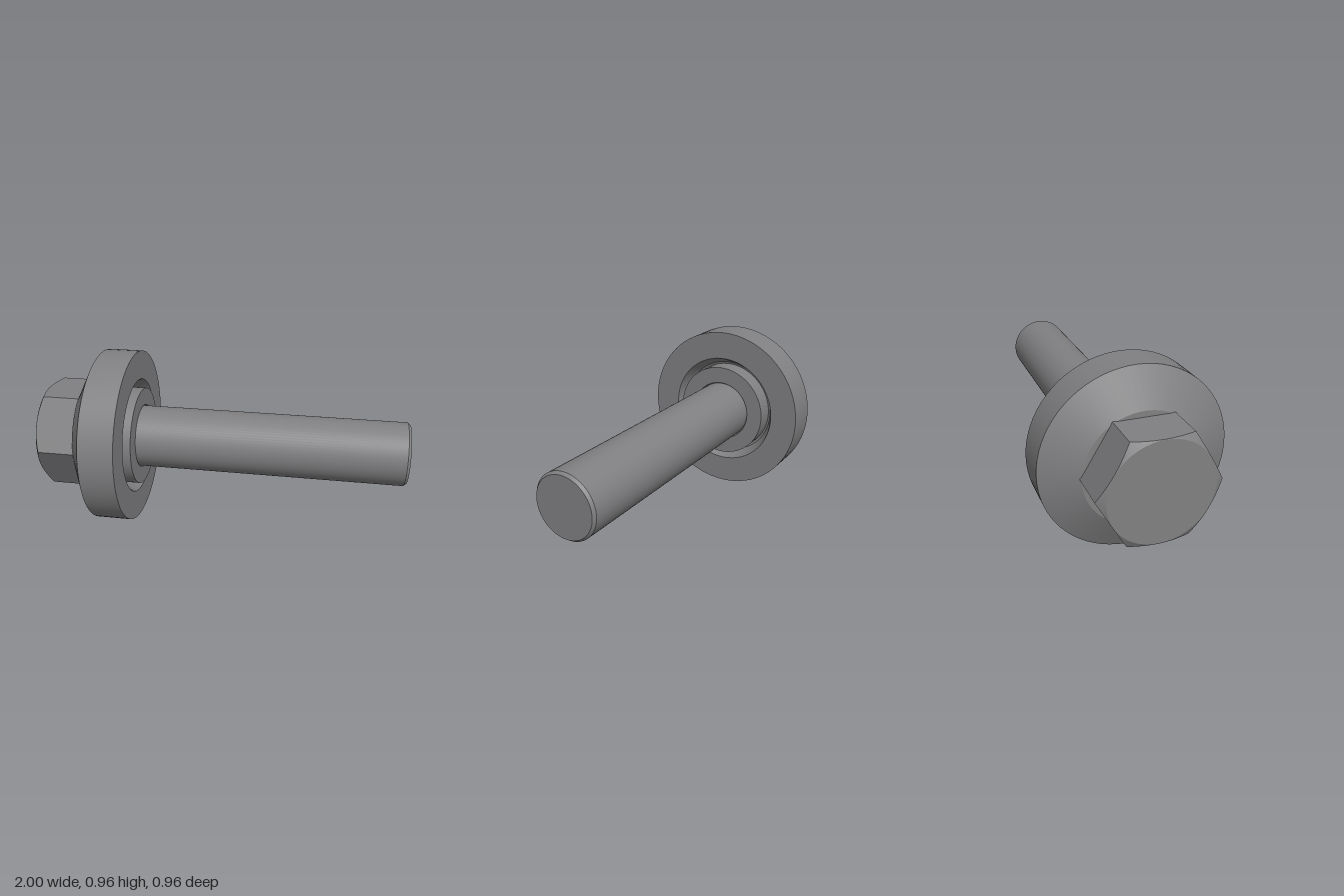
import * as THREE from 'three';
import { toCreasedNormals } from 'three/addons/utils/BufferGeometryUtils.js';

const AXIS_Y = 0.481;

export function createModel() {
  const group = new THREE.Group();
  const steel = new THREE.MeshStandardMaterial({ color: 0x808082 });
  steel.name = 'steel grey';

  const add = (name, geometry) => {
    const mesh = new THREE.Mesh(toCreasedNormals(geometry, 0.35), steel);
    mesh.name = name;
    mesh.position.y = AXIS_Y;
    group.add(mesh);
  };

  // Profile of [radius, x] pairs turned about the bolt axis
  const turned = (profile) => new THREE.LatheGeometry(
    profile.map(([r, x]) => new THREE.Vector2(r, x)), 72).rotateZ(-Math.PI / 2);

  // Conical washer with a flared recess in its flat side
  add('washer', turned([
    [0, -0.78], [0.295, -0.78], [0.48, -0.682], [0.48, -0.492],
    [0.322, -0.492], [0.295, -0.55], [0.285, -0.565], [0.272, -0.57],
  ]));

  // Collar standing proud of the recess
  add('collar', turned([
    [0.272, -0.59], [0.272, -0.465], [0.178, -0.465], [0.172, -0.475],
  ]));

  // Shank with a chamfered tip
  add('shank', turned([
    [0.172, -0.5], [0.172, 0.985], [0.16, 1], [0, 1],
  ]));

  add('hexHead', hexHead(0.264, -1, -0.77));
  return group;
}

// Hexagonal prism along x, its corners cut by a cone at the outer end
function hexHead(apothem, x0, x1) {
  const steps = 12, count = 6 * steps, faceRadius = apothem - 0.002;
  const positions = [];
  const rings = [[], [], [], []];
  for (let i = 0; i <= count; i++) {
    const t = (i % steps) / steps * Math.PI / 3 - Math.PI / 6;
    const a = i / count * Math.PI * 2 - Math.PI / 6;
    const r = apothem / Math.cos(t);
    const at = (x, radius) => [x, radius * Math.cos(a), radius * Math.sin(a)];
    rings[0].push([x0, 0, 0]);
    rings[1].push(at(x0, faceRadius));
    rings[2].push(at(x0 + (r - faceRadius) * 0.6, r));
    rings[3].push(at(x1, r));
  }
  for (let k = 0; k < 3; k++) {
    for (let i = 0; i < count; i++) {
      const a = rings[k][i], b = rings[k][i + 1];
      const c = rings[k + 1][i + 1], d = rings[k + 1][i];
      if (k > 0) positions.push(...a, ...b, ...c);
      positions.push(...a, ...c, ...d);
    }
  }
  const geometry = new THREE.BufferGeometry();
  geometry.setAttribute('position', new THREE.Float32BufferAttribute(positions, 3));
  geometry.computeVertexNormals();
  return geometry;
}
